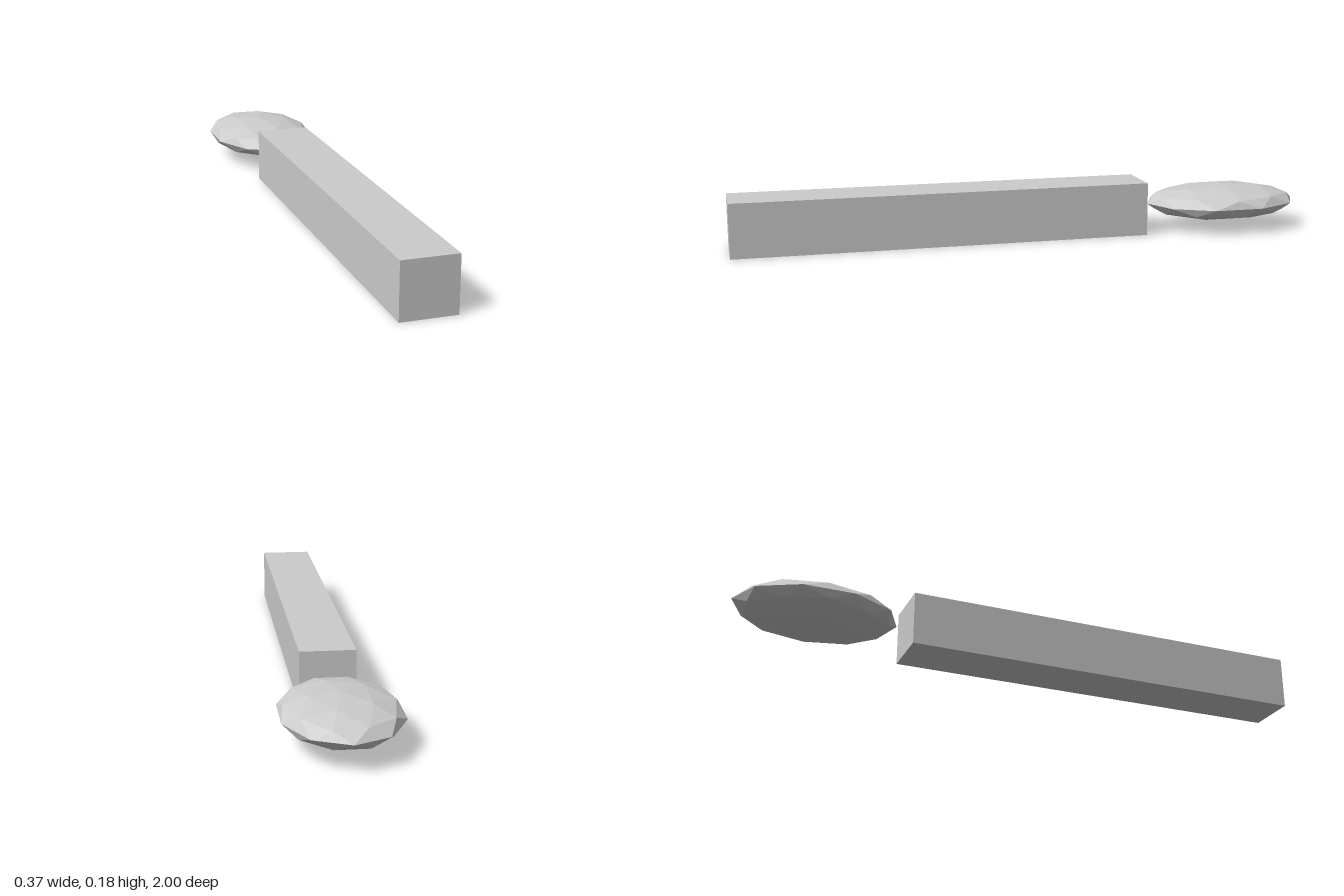
import * as THREE from 'three';

export function createModel() {
  const model = new THREE.Group();
  const grey = new THREE.MeshStandardMaterial({ color: 0xcccccc });
  grey.name = 'light grey';
  const midY = 0.0915;

  const add = (name, geometry, z) => {
    const mesh = new THREE.Mesh(geometry, grey);
    mesh.name = name;
    mesh.position.set(0, midY, z);
    model.add(mesh);
  };

  // Long square bar
  add('handle', new THREE.BoxGeometry(0.182, 0.183, 1.418), 0.291);

  // Flattened faceted head: icosphere stood on one of its corners
  const head = new THREE.IcosahedronGeometry(1, 1);
  head.rotateZ(-Math.atan(2 / (1 + Math.sqrt(5))));
  head.scale(0.192, 0.061, 0.275);
  head.computeVertexNormals(); // one normal per facet
  add('head', head, -0.725);

  return model;
}
